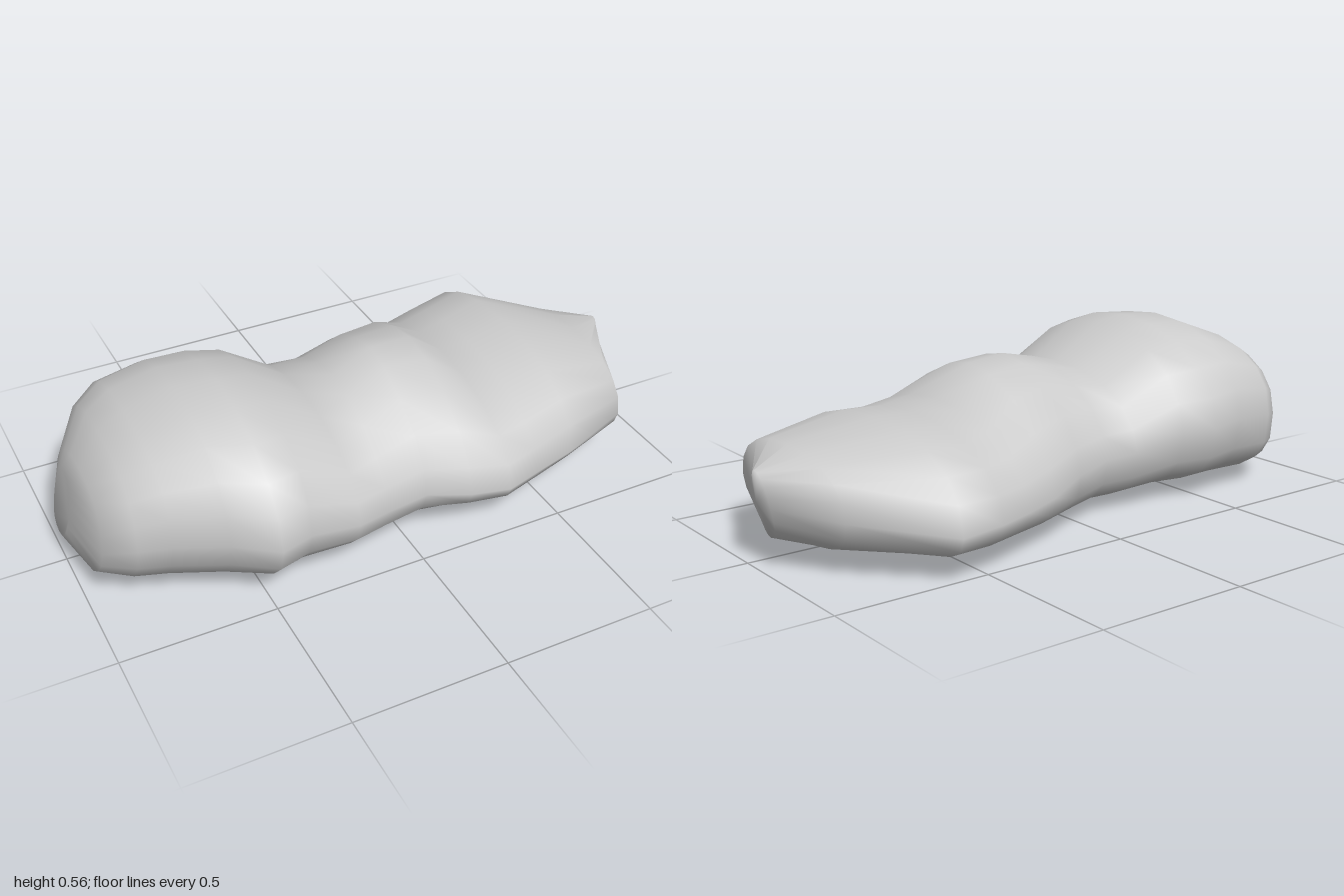
import * as THREE from 'three';

// Cross-sections along x: [x, back z, front z, bottom y, widest y, top y, roundness of the top]
const SECTIONS = [
  [-0.98, -0.12, 0.03, 0.08, 0.18, 0.30, 2.2],
  [-0.95, -0.18, 0.27, 0.06, 0.21, 0.37, 2.3],
  [-0.86, -0.32, 0.33, 0.01, 0.23, 0.455, 2.3],
  [-0.77, -0.38, 0.38, 0.01, 0.25, 0.50, 2.3],
  [-0.62, -0.39, 0.46, 0.01, 0.26, 0.56, 2.1],
  [-0.49, -0.41, 0.54, 0.01, 0.25, 0.565, 2],
  [-0.38, -0.37, 0.50, 0.01, 0.24, 0.55, 2],
  [-0.21, -0.34, 0.48, 0, 0.20, 0.435, 2],
  [-0.10, -0.32, 0.45, 0, 0.19, 0.465, 1.8],
  [0.05, -0.37, 0.42, 0, 0.18, 0.50, 1.7],
  [0.20, -0.43, 0.45, 0.01, 0.15, 0.49, 1.7],
  [0.33, -0.47, 0.47, 0.015, 0.14, 0.395, 2],
  [0.45, -0.51, 0.435, 0.02, 0.14, 0.38, 2.15],
  [0.61, -0.54, 0.39, 0.035, 0.14, 0.395, 2.25],
  [0.85, -0.31, 0.315, 0.05, 0.17, 0.335, 2.25],
  [0.98, -0.12, -0.03, 0.09, 0.19, 0.30, 2],
];
const SIDES = 20;

// One ring point: rounded over the top, flatter underneath, leaning at the ends
function ringPoint([x, back, front, low, wide, high, round], angle) {
  const c = Math.cos(angle), s = Math.sin(angle);
  const power = 2 / (s >= 0 ? round : 2.45 - 0.3 * c);
  const across = Math.sign(c) * Math.abs(c) ** power;
  const up = Math.sign(s) * Math.abs(s) ** power;
  const z = (front + back) / 2 + (across * (front - back)) / 2;
  const y = wide + up * (s >= 0 ? high - wide : wide - low);
  const lean = 0.025 * x ** 8 * (((y - low) / (high - low)) * 2 - 1);
  return [x + lean, y, z];
}

function createBody() {
  const positions = [], indices = [];
  for (const section of SECTIONS) {
    for (let j = 0; j < SIDES; j++) {
      positions.push(...ringPoint(section, (j / SIDES) * Math.PI * 2));
    }
  }
  // Skin between neighbouring rings
  for (let i = 0; i < SECTIONS.length - 1; i++) {
    for (let j = 0; j < SIDES; j++) {
      const a = i * SIDES + j, b = i * SIDES + ((j + 1) % SIDES);
      indices.push(a, a + SIDES, b, b, a + SIDES, b + SIDES);
    }
  }
  // Close both ends
  const last = (SECTIONS.length - 1) * SIDES;
  for (let j = 1; j < SIDES - 1; j++) {
    indices.push(0, j, j + 1, last, last + j + 1, last + j);
  }
  const geometry = new THREE.BufferGeometry();
  geometry.setAttribute('position', new THREE.Float32BufferAttribute(positions, 3));
  geometry.setIndex(indices);
  geometry.computeVertexNormals();
  return geometry;
}

export function createModel() {
  const group = new THREE.Group();
  group.name = 'rock';
  const body = new THREE.Mesh(createBody(), new THREE.MeshStandardMaterial({ color: 0xcccccc }));
  body.name = 'rockBody';
  group.add(body);
  return group;
}
